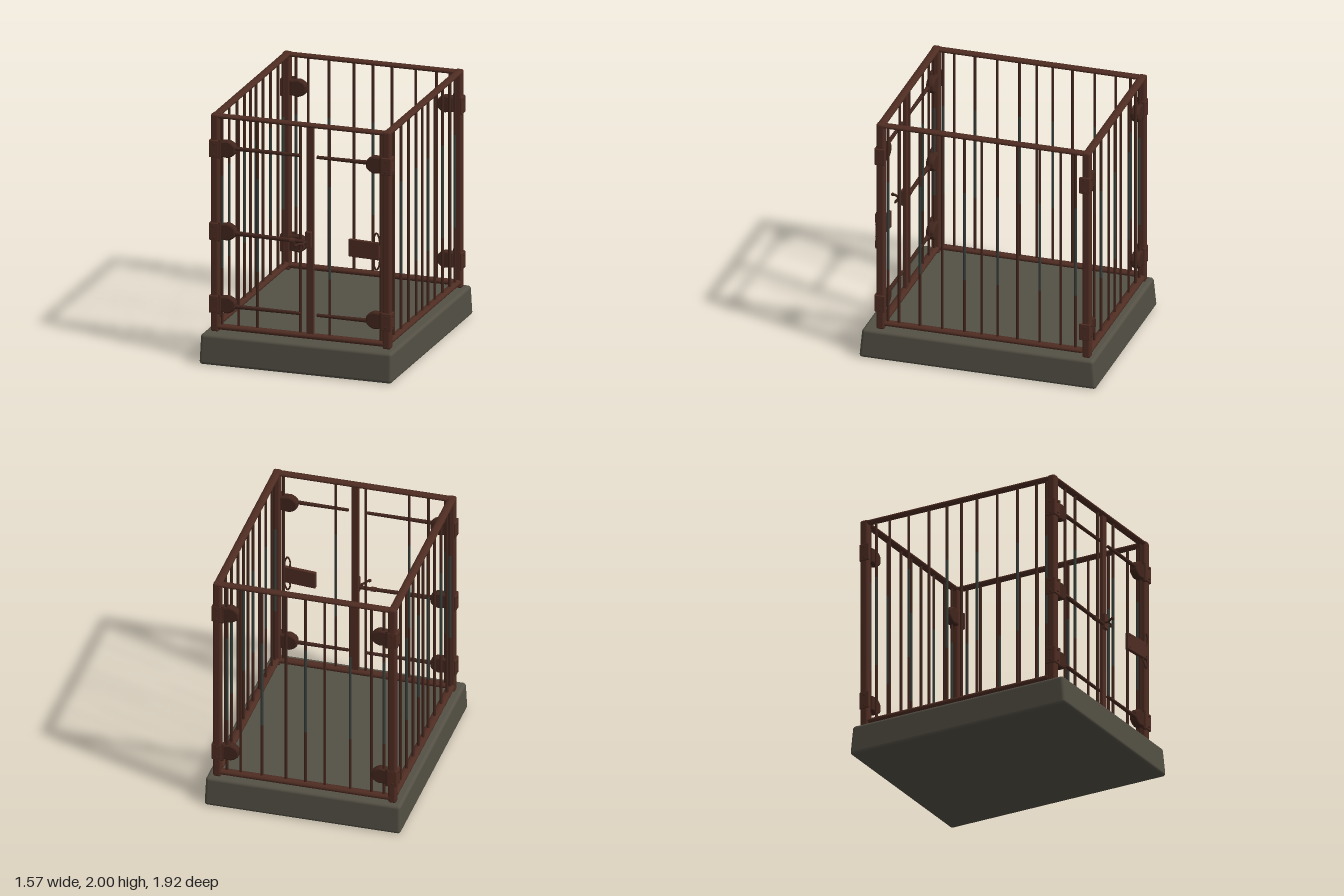
import * as THREE from 'three';
import { RoundedBoxGeometry } from 'three/addons/geometries/RoundedBoxGeometry.js';

const mat = (name, color) => {
  const m = new THREE.MeshStandardMaterial({ color });
  m.name = name;
  return m;
};

export function createModel() {
  const root = new THREE.Group();
  root.name = 'barredCage';
  const rust = mat('rustBrown', 0x4e2c22);
  const darkRust = mat('darkRust', 0x41251c);
  const iron = mat('bareIron', 0x363c37);
  const stone = mat('stone', 0x545045);

  const add = (name, geo, material, x = 0, y = 0, z = 0, parent = root) => {
    const m = new THREE.Mesh(geo, material);
    m.name = name;
    m.position.set(x, y, z);
    parent.add(m);
    return m;
  };
  const box = (w, h, d, r = 0.006) => new RoundedBoxGeometry(w, h, d, 2, r);
  // Round rod between two points, optionally tapered
  const rod = (name, a, b, r0, r1, material, parent = root) => {
    const p = new THREE.Vector3(...a), q = new THREE.Vector3(...b);
    const dir = q.clone().sub(p);
    const m = add(name, new THREE.CylinderGeometry(r1, r0, dir.length(), 10), material, 0, 0, 0, parent);
    m.position.copy(p).add(q).multiplyScalar(0.5);
    m.quaternion.setFromUnitVectors(new THREE.Vector3(0, 1, 0), dir.normalize());
    return m;
  };
  const tube = (name, pts, r, material, parent = root) => {
    const curve = new THREE.CatmullRomCurve3(pts.map(p => new THREE.Vector3(...p)));
    return add(name, new THREE.TubeGeometry(curve, 20, r, 8), material, 0, 0, 0, parent);
  };

  const X = 0.703, ZF = 0.805, ZB = -0.865;

  // Stone slab, slightly narrower at the top
  const slab = new RoundedBoxGeometry(1.57, 0.24, 1.9, 4, 0.025);
  const sp = slab.attributes.position;
  for (let i = 0; i < sp.count; i++) {
    const t = 1 - 0.012 * (sp.getY(i) / 0.12);
    sp.setZ(i, sp.getZ(i) * t);
    sp.setX(i, sp.getX(i) * (1 - 0.004 * (sp.getY(i) / 0.12)));
  }
  slab.computeBoundingBox();
  add('stoneBase', slab, stone, 0, 0.12, 0);

  // Corner posts
  for (const x of [-X, X]) for (const z of [ZF, ZB])
    add('cornerPost', box(0.066, 1.765, 0.068, 0.018), rust, x, 1.1175, z);

  // Rails: flattened round beams, wider than tall
  const rail = (name, len, alongX, x, y, z, h = 0.037) => {
    const g = new THREE.CylinderGeometry(1, 1, len, 16);
    g.rotateZ(Math.PI / 2);
    g.scale(1, h / 2, 0.033);
    if (!alongX) g.rotateY(Math.PI / 2);
    add(name, g, rust, x, y, z);
  };
  for (const z of [ZF, ZB]) {
    rail('topRail', 1.36, true, 0, 1.98, z);
    rail('bottomRail', 1.36, true, 0, 0.273, z, 0.046);
  }
  for (const x of [-X, X]) {
    rail('sideTopRail', 1.63, false, x, 1.98, -0.03);
    rail('sideBottomRail', 1.60, false, x, 0.285, -0.03, 0.042);
  }

  // Upright bars, some worn to bare iron in the middle
  const bar = (x, z, worn) => {
    const g = new THREE.Group();
    g.name = 'uprightBar';
    root.add(g);
    const cuts = worn ? [0.27, 0.75, 1.5, 1.98] : [0.27, 1.98];
    for (let i = 0; i + 1 < cuts.length; i++)
      rod('barSection', [x, cuts[i], z], [x, cuts[i + 1], z], 0.011, 0.011,
        i === 1 ? iron : darkRust, g);
  };
  [0.75, 0.66, 0.49, 0.31, 0.13, -0.01, -0.14, -0.3, -0.48, -0.65, -0.77].forEach((z, i) => {
    for (const x of [-X, X]) bar(x, z, i % 2 === 0);
  });
  [-0.63, -0.53, -0.36, -0.155, 0, 0.155, 0.35, 0.52, 0.63].forEach((x, i) => bar(x, ZB, i % 2 === 0));
  [-0.65, -0.515, -0.36, -0.01, 0.23, 0.65].forEach((x, i) => bar(x, ZF, i % 2 === 0));

  // Flat door stile
  add('doorStile', box(0.056, 1.69, 0.03, 0.004), rust, 0.073, 1.125, ZF);

  // Hinge: post plate, tapered knuckle and rivets; s = side, f = outward z
  const hingeShape = new THREE.Shape();
  hingeShape.moveTo(0.66, -0.05);
  hingeShape.lineTo(0.6, -0.058);
  hingeShape.quadraticCurveTo(0.555, -0.045, 0.545, -0.016);
  hingeShape.lineTo(0.545, 0.016);
  hingeShape.quadraticCurveTo(0.555, 0.045, 0.6, 0.058);
  hingeShape.lineTo(0.66, 0.05);
  const knuckle = new THREE.ExtrudeGeometry(hingeShape, {
    depth: 0.03, bevelEnabled: true, bevelSize: 0.012, bevelThickness: 0.018, bevelSegments: 2, curveSegments: 6,
  });
  knuckle.translate(0, 0, -0.015);
  const hinge = (s, y, f, z) => {
    const g = new THREE.Group();
    g.name = 'hinge';
    g.position.set(0, y, z);
    g.rotation.y = s > 0 ? 0 : Math.PI;
    root.add(g);
    const out = f * s;
    add('hingeKnuckle', knuckle, darkRust, 0, 0, 0, g);
    add('hingePlate', box(0.075, 0.14, 0.03), rust, 0.704, 0, out * 0.03, g);
    add('hingeSidePlate', box(0.016, 0.14, 0.085), rust, 0.738, 0, 0, g);
    for (const dy of [-0.045, 0.045]) {
      const rivet = new THREE.SphereGeometry(0.009, 8, 6);
      add('hingeRivet', rivet, darkRust, 0.704, dy, out * 0.045, g);
      add('sideRivet', rivet, darkRust, 0.746, dy, 0, g);
    }
    rod('hingePin', [0.662, -0.075, out * 0.03], [0.662, 0.075, out * 0.03], 0.013, 0.013, darkRust, g);
  };
  for (const y of [1.72, 0.46]) for (const s of [-1, 1]) {
    hinge(s, y, 1, ZF);
    hinge(s, y, -1, ZB + 0.01);
  }
  hinge(-1, 1.05, 1, ZF);

  // Door cross bars running from the hinges
  for (const y of [1.73, 0.45]) {
    rod('leftCrossBar', [-0.57, y, 0.815], [0, y, 0.815], 0.017, 0.013, darkRust);
    rod('rightCrossBar', [0.57, y, 0.815], [0.13, y, 0.815], 0.017, 0.013, darkRust);
  }
  rod('latchBar', [-0.57, 1.045, 0.815], [0.05, 1.035, 0.82], 0.019, 0.014, darkRust);
  rod('latchCollar', [-0.09, 1.037, 0.82], [-0.05, 1.037, 0.82], 0.02, 0.02, rust);

  // Latch keeper and hooked lever
  add('latchKeeper', box(0.05, 0.13, 0.035), rust, 0.066, 1.06, 0.826);
  tube('latchLever', [[0.05, 1.045, 0.84], [0.03, 1.035, 0.88], [0.01, 1.04, 0.91], [-0.005, 1.035, 0.94]], 0.009, darkRust);
  tube('latchHook', [[0.03, 1.04, 0.87], [0.05, 1.01, 0.895], [0.03, 0.985, 0.905], [0.0, 0.985, 0.9]], 0.007, darkRust);
  add('leverKnob', new THREE.SphereGeometry(0.014, 10, 8), darkRust, -0.005, 1.035, 0.936);

  // Lock case with bow handles, tilted slightly out from the door
  const lock = new THREE.Group();
  lock.name = 'lock';
  lock.position.set(0.527, 1.033, 0.842);
  lock.rotation.y = -0.1;
  root.add(lock);
  add('lockCase', box(0.26, 0.14, 0.03, 0.005), rust, 0, 0, 0, lock);
  for (const x of [-0.11, 0.11]) for (const y of [-0.05, 0.05])
    add('lockRivet', new THREE.SphereGeometry(0.007, 8, 6), darkRust, x, y, 0.015, lock);
  for (const s of [-1, 1])
    tube('lockHandle', [[0.085, s * 0.065, 0], [0.09, s * 0.12, 0.012], [0.11, s * 0.15, 0.012],
      [0.13, s * 0.11, 0.01], [0.132, s * 0.05, 0]], 0.007, darkRust, lock);

  return root;
}
